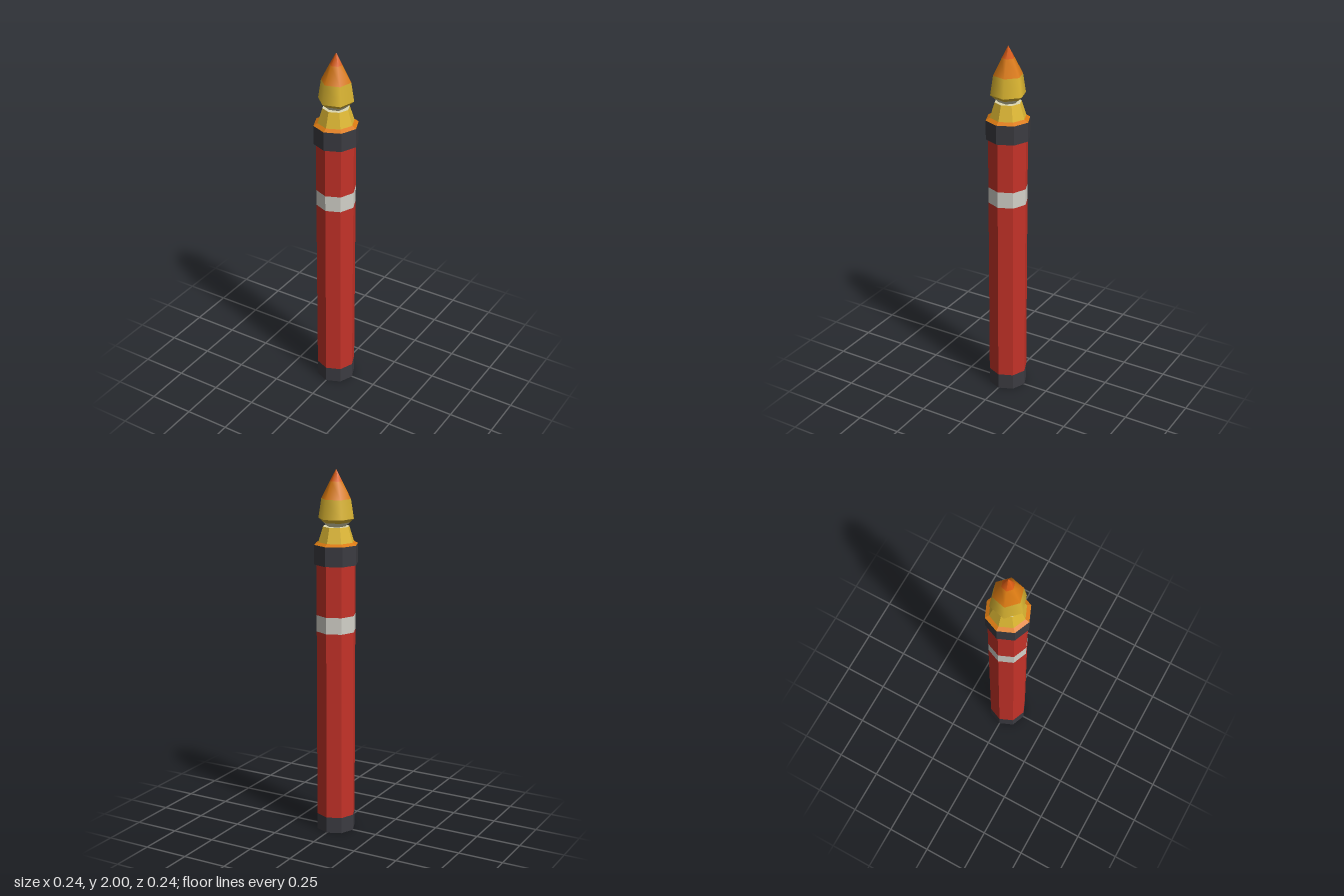
import * as THREE from 'three';

const paint = (name, color) => {
  const m = new THREE.MeshStandardMaterial({ color });
  m.name = name;
  return m;
};

export function createModel() {
  const red = paint('red', 0xc43228);
  const charcoal = paint('charcoal', 0x3b3b41);
  const pale = paint('pale grey', 0xd2d0c8);
  const yellow = paint('yellow', 0xdcb632);
  const orange = paint('orange', 0xda7a12);
  const deepOrange = paint('deep orange', 0xdc5c12);
  const cream = paint('cream', 0xddd8b0);

  const model = new THREE.Group();
  model.name = 'flare';

  const add = (name, geometry, material) => {
    const mesh = new THREE.Mesh(geometry, material);
    mesh.name = name;
    model.add(mesh);
    return mesh;
  };

  // Flat-sided eight-sided section; materials are [side, top, bottom]
  const section = (name, y0, y1, r0, r1, side, top = side, bottom = side) => {
    const faceted = new THREE.CylinderGeometry(r1, r0, y1 - y0, 8).toNonIndexed();
    faceted.computeVertexNormals();
    faceted.translate(0, (y0 + y1) / 2, 0);
    return add(name, faceted, [side, top, bottom]);
  };

  // Smooth six-sided band of the flame, turned a little off axis
  const flameBand = (name, points, material) => add(
    name,
    new THREE.LatheGeometry(
      points.map(([r, y]) => new THREE.Vector2(r, y)), 6, THREE.MathUtils.degToRad(-14)),
    material);

  // Stick
  section('base', 0, 0.09, 0.108, 0.108, charcoal);
  section('lowerTube', 0.09, 1.135, 0.108, 0.108, red);
  section('stripe', 1.135, 1.225, 0.108, 0.108, pale);
  section('upperTube', 1.225, 1.5, 0.108, 0.108, red);

  // Collar with a sloping lip and a tapered neck
  section('collar', 1.5, 1.605, 0.12, 0.12, charcoal);
  section('collarLip', 1.605, 1.618, 0.12, 0.098, orange);
  section('neck', 1.618, 1.7, 0.098, 0.072, yellow, cream);

  // Flame
  flameBand('flameUnderside', [[0, 1.68], [0.04, 1.69], [0.074, 1.722]], cream);
  flameBand('flameBelly', [[0.074, 1.722], [0.096, 1.742]], yellow);
  flameBand('flameBody', [[0.096, 1.742], [0.08, 1.845]], yellow);
  flameBand('flameShoulder', [[0.08, 1.845], [0.034, 1.936]], orange);
  flameBand('flameTip', [[0.034, 1.936], [0, 2]], deepOrange);

  return model;
}
